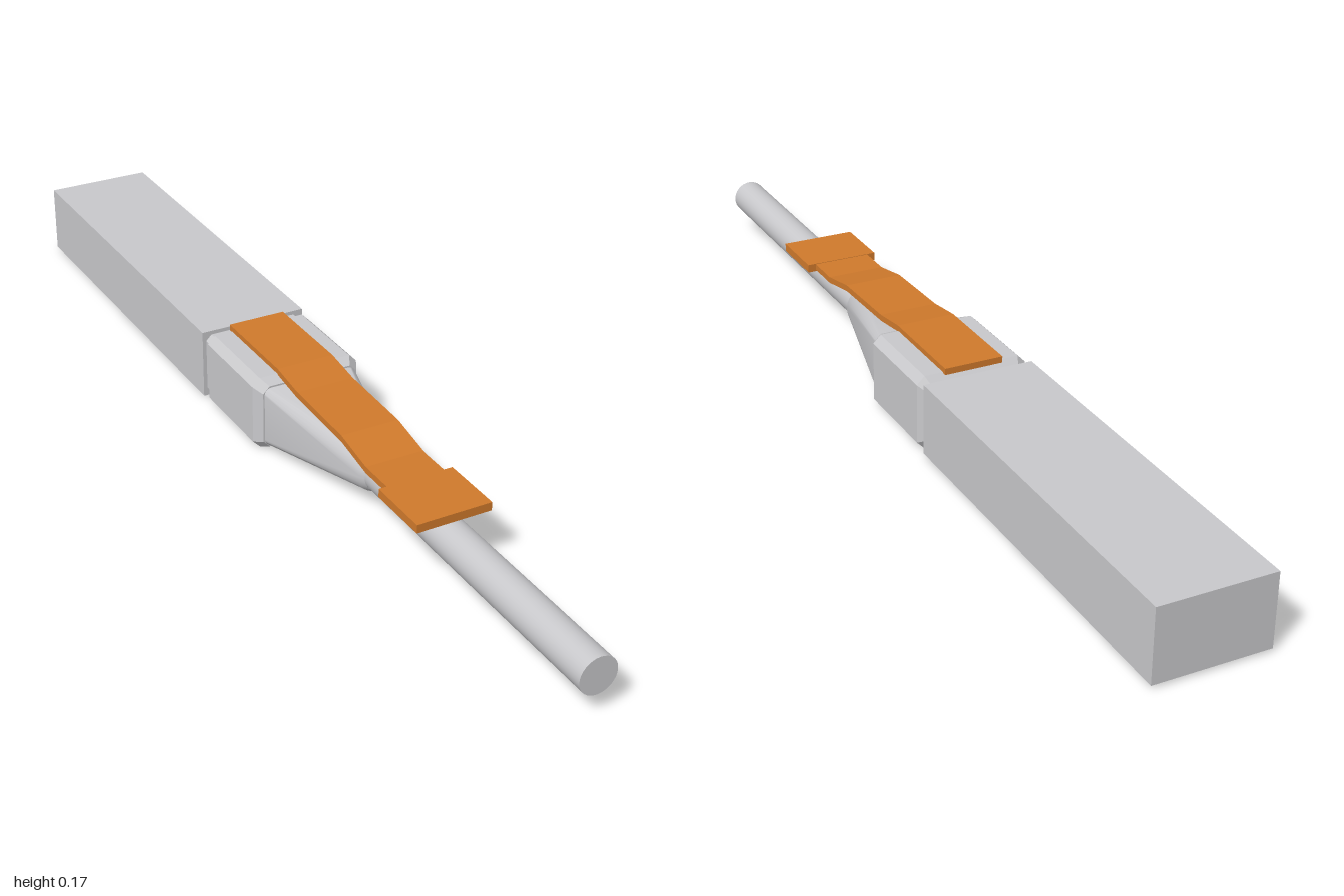
import * as THREE from 'three';
import { toCreasedNormals } from 'three/addons/utils/BufferGeometryUtils.js';

const CY = 0.077; // height of the long axis

// Rounded rectangle, counter-clockwise seen from +z; steps = 1 gives chamfers
function ring([z, hx, hy, r], steps) {
  const pts = [];
  [[1, 1], [-1, 1], [-1, -1], [1, -1]].forEach(([sx, sy], q) => {
    for (let i = 0; i <= steps; i++) {
      const a = (q + i / steps) * Math.PI / 2;
      pts.push([sx * (hx - r) + r * Math.cos(a), CY + sy * (hy - r) + r * Math.sin(a), z]);
    }
  });
  return pts;
}

// Skin through sections [z, halfWidth, halfHeight, cornerRadius], from back to front
function loft(sections, steps, crease) {
  const rings = sections.map(s => ring(s, steps));
  const n = rings[0].length, pos = [];
  const tri = (...p) => p.forEach(v => pos.push(...v));
  for (let i = 0; i < rings.length - 1; i++) {
    for (let j = 0; j < n; j++) {
      const k = (j + 1) % n, A = rings[i], B = rings[i + 1];
      tri(A[j], A[k], B[k]);
      tri(A[j], B[k], B[j]);
    }
  }
  const first = rings[0], last = rings[rings.length - 1];
  for (let j = 1; j < n - 1; j++) {
    tri(first[0], first[j + 1], first[j]);
    tri(last[0], last[j], last[j + 1]);
  }
  const g = new THREE.BufferGeometry();
  g.setAttribute('position', new THREE.Float32BufferAttribute(pos, 3));
  return toCreasedNormals(g, crease);
}

// Side profile [z, y] extruded across x
function strip(profile, width) {
  const shape = new THREE.Shape(profile.map(([z, y]) => new THREE.Vector2(-z, y)));
  const g = new THREE.ExtrudeGeometry(shape, { depth: width, bevelEnabled: false });
  g.translate(0, 0, -width / 2);
  g.rotateY(Math.PI / 2);
  return g;
}

export function createModel() {
  const group = new THREE.Group();
  const grey = new THREE.MeshStandardMaterial({ color: 0xc8c8cb });
  grey.name = 'light grey';
  const orange = new THREE.MeshStandardMaterial({ color: 0xd07a2c });
  orange.name = 'orange';
  const add = (name, geometry, material) => {
    const m = new THREE.Mesh(geometry, material);
    m.name = name;
    group.add(m);
    return m;
  };

  // Long rectangular block at the back
  add('block', new THREE.BoxGeometry(0.226, 0.145, 0.805), grey).position.set(0, 0.0785, -0.5975);

  // Chamfered housing with a narrower neck against the block
  add('housing', loft([
    [-0.2, 0.105, 0.066, 0.012],
    [-0.18, 0.105, 0.066, 0.012],
    [-0.168, 0.114, 0.077, 0.016],
    [0.028, 0.114, 0.077, 0.016],
    [0.05, 0.102, 0.067, 0.014],
  ], 1, 0.2), grey);

  // Strain relief: rectangular at the housing, round at the cable
  add('strainRelief', loft([
    [0.045, 0.1, 0.064, 0.014],
    [0.318, 0.044, 0.042, 0.04],
    [0.328, 0.037, 0.037, 0.036],
  ], 6, 0.6), grey);

  // Cable
  const cable = new THREE.CylinderGeometry(0.037, 0.037, 0.69, 32);
  cable.rotateX(Math.PI / 2);
  add('cable', cable, grey).position.set(0, CY, 0.655);

  // Pull strap: bent band with a constant thickness
  const top = [[-0.178, 0.165], [0.03, 0.165], [0.11, 0.154], [0.28, 0.149], [0.37, 0.131], [0.46, 0.131]];
  const under = top.map(([z, y]) => [z, y - 0.013]).reverse();
  add('pullStrap', strip([...top, ...under], 0.12), orange);

  // Wider grip at the end of the strap
  add('strapGrip', new THREE.BoxGeometry(0.154, 0.017, 0.13), orange).position.set(0, 0.1235, 0.51);

  return group;
}
